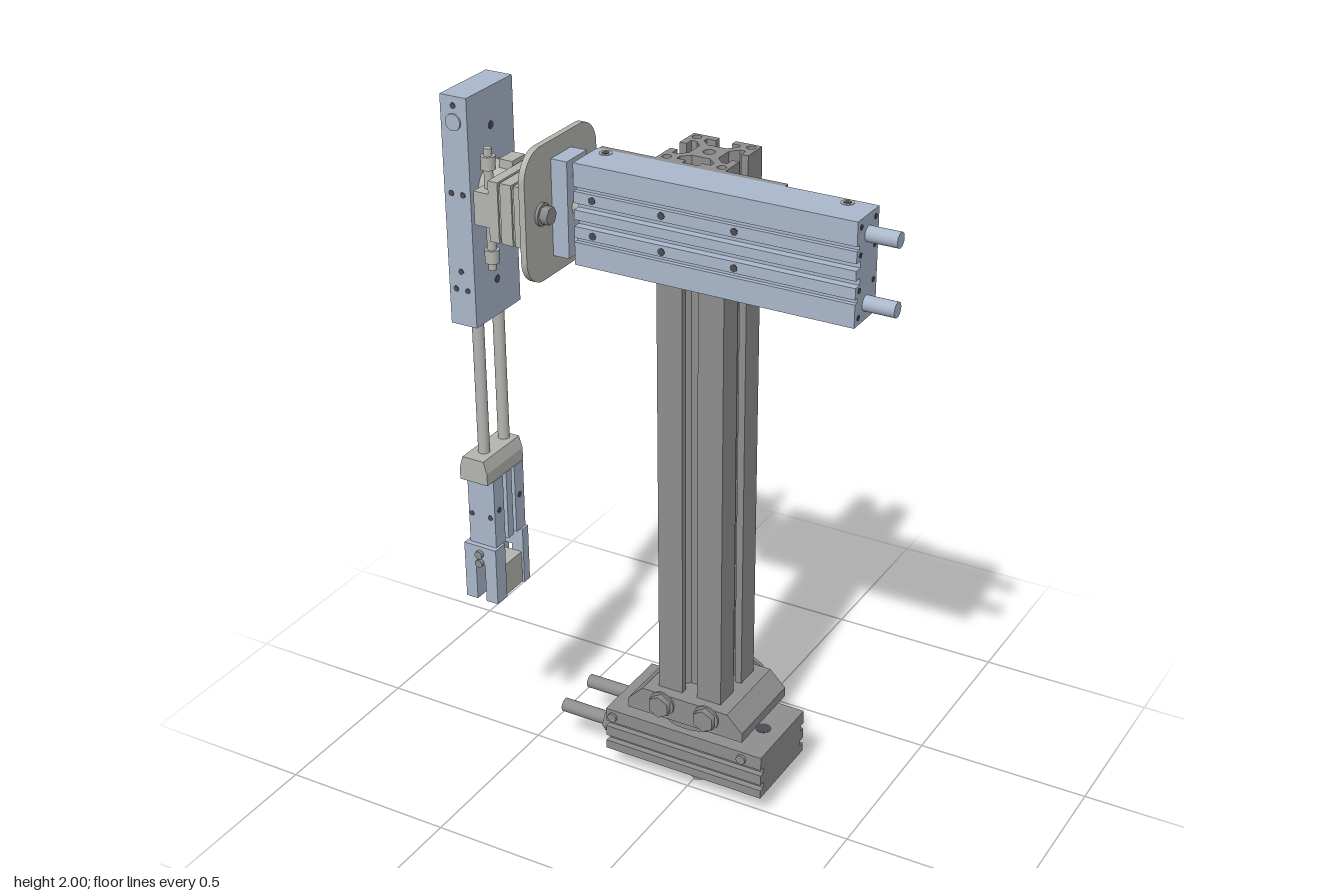
import * as THREE from 'three';

const mat = (color) => new THREE.MeshStandardMaterial({ color });

export function createModel() {
  const root = new THREE.Group();
  const DARK = mat(0x8e8e8e), GREY = mat(0xb4b4b0), BLUE = mat(0xaab7cb), HOLE = mat(0x4a4d52);

  const add = (name, geo, material, parent = root) => {
    const m = new THREE.Mesh(geo, material);
    m.name = name;
    parent.add(m);
    return m;
  };
  const group = (name) => {
    const g = new THREE.Group();
    g.name = name;
    root.add(g);
    return g;
  };
  // Box given by its limits on each axis
  const box = (name, [x0, x1], [y0, y1], [z0, z1], material, parent) => {
    const m = add(name, new THREE.BoxGeometry(x1 - x0, y1 - y0, z1 - z0), material, parent);
    m.position.set((x0 + x1) / 2, (y0 + y1) / 2, (z0 + z1) / 2);
    return m;
  };
  // Cylinder along an axis from a to b; p is the centre on the other two axes in x, y, z order
  const rod = (name, axis, a, b, p, r, material, parent, sides = 24) => {
    const geo = new THREE.CylinderGeometry(r, r, b - a, sides);
    if (axis === 'x') geo.rotateZ(Math.PI / 2);
    if (axis === 'z') geo.rotateX(Math.PI / 2);
    const m = add(name, geo, material, parent), c = (a + b) / 2;
    if (axis === 'x') m.position.set(c, p[0], p[1]);
    else if (axis === 'y') m.position.set(p[0], c, p[1]);
    else m.position.set(p[0], p[1], c);
    return m;
  };
  const shapeOf = (pts) => new THREE.Shape(pts.map(([x, y]) => new THREE.Vector2(x, y)));
  const extrude = (shape, depth) =>
    new THREE.ExtrudeGeometry(shape, { depth, bevelEnabled: false, curveSegments: 12 });
  const circle = (x, y, r) => new THREE.Path().absarc(x, y, r, 0, Math.PI * 2, true);
  // Profile drawn in (z, y), swept along x
  const sweepX = (name, pts, x0, x1, material, parent) => {
    const geo = extrude(shapeOf(pts.map(([z, y]) => [-z, y])), x1 - x0).rotateY(Math.PI / 2);
    geo.translate(x0, 0, 0);
    return add(name, geo, material, parent);
  };
  // Side edge running from y0 to y1 at z, with grooves cut by d at the given heights
  const grooved = (z, d, heights, half) =>
    heights.flatMap((y) => [[z, y - half], [z - d, y - half], [z - d, y + half], [z, y + half]]);

  // Base rotary unit: grooved body, ports and centre bolt
  const base = group('base');
  const cz = -0.093;
  const front = grooved(0.037, 0.018, [0.105, 0.155], 0.009);
  const back = front.map(([z, y]) => [2 * cz - z, y]).reverse();
  sweepX('baseBody', [[0.037, 0.07], ...front, [0.037, 0.205], [-0.223, 0.205], ...back, [-0.223, 0.07]],
    -0.243, 0.25, DARK, base);
  rod('baseBolt', 'y', 0, 0.045, [0.007, cz], 0.058, DARK, base, 6);
  rod('baseWasher', 'y', 0.045, 0.07, [0.007, cz], 0.067, DARK, base);
  rod('lowerFlange', 'y', 0.205, 0.22, [0.007, cz], 0.09, DARK, base, 32);
  rod('upperFlange', 'y', 0.218, 0.236, [0.007, cz], 0.125, DARK, base, 32);
  for (const z of [-0.167, -0.027]) {
    rod('fittingNut', 'x', -0.275, -0.243, [0.12, z], 0.034, DARK, base, 6);
    rod('hoseFitting', 'x', -0.42, -0.275, [0.12, z], 0.02, DARK, base);
  }
  for (const x of [-0.17, 0.19]) rod('baseHole', 'y', 0.2, 0.206, [x, cz], 0.022, HOLE, base);
  for (const x of [-0.22, 0.19]) for (const [a, b] of [[0.037, 0.045], [-0.232, -0.223]])
    rod('baseScrew', 'z', a, b, [x, 0.183], 0.014, DARK, base, 12);

  // Chamfered clamp holding the column, with hex bolts on both faces
  const clamp = group('columnClamp');
  const clampGeo = extrude(shapeOf([[-0.17, 0.236], [0.19, 0.236], [0.19, 0.265], [0.143, 0.312],
    [-0.123, 0.312], [-0.17, 0.265]]), 0.258);
  clampGeo.translate(0, 0, -0.222);
  add('clampBlock', clampGeo, DARK, clamp);
  for (const x of [-0.06, 0.08]) for (const [z, s] of [[0.036, 1], [-0.222, -1]]) {
    const span = (a, b) => [z + s * a, z + s * b].sort((p, q) => p - q);
    rod('clampWasher', 'z', ...span(0, 0.006), [x, 0.283], 0.038, DARK, clamp);
    rod('clampBolt', 'z', ...span(0.006, 0.025), [x, 0.283], 0.033, DARK, clamp, 6);
  }

  // Column: square extrusion with a T-slot in each side and holes through it
  const h = 0.097;
  const side = [[-h, -h], [-0.023, -h], [-0.023, -h + 0.02], [-0.048, -h + 0.02], [-0.048, -h + 0.036],
    [-0.026, -h + 0.056], [0.026, -h + 0.056], [0.048, -h + 0.036], [0.048, -h + 0.02],
    [0.023, -h + 0.02], [0.023, -h]];
  const outline = [];
  for (let i = 0, p = side; i < 4; i++, p = p.map(([x, y]) => [-y, x])) outline.push(...p);
  const columnShape = shapeOf(outline);
  columnShape.holes.push(circle(0, 0, 0.016));
  for (const x of [-1, 1]) for (const y of [-1, 1])
    columnShape.holes.push(circle(x * 0.077, y * 0.077, 0.012));
  const column = add('column', extrude(columnShape, 1.56).rotateX(-Math.PI / 2), DARK);
  column.position.set(0.008, 0.31, -0.095);

  // Horizontal slide: mounting plate, grooved body, guide rods and end plate
  const slide = group('horizontalSlide');
  box('mountingPlate', [-0.243, 0.275], [1.6, 1.87], [0, 0.016], DARK, slide);
  sweepX('slideBody', [[0.016, 1.6], [0.132, 1.6],
    ...grooved(0.132, 0.012, [1.667], 0.006), ...grooved(0.132, 0.022, [1.712, 1.756], 0.009),
    ...grooved(0.132, 0.012, [1.802], 0.006), [0.132, 1.87], [0.016, 1.87]], -0.247, 0.522, BLUE, slide);
  for (const y of [1.643, 1.82]) {
    rod('guideRod', 'x', 0.522, 0.605, [y, 0.072], 0.02, BLUE, slide);
    rod('rodEnd', 'x', -0.28, -0.247, [y, 0.072], 0.022, BLUE, slide);
  }
  box('slideEndPlate', [-0.318, -0.272], [1.605, 1.863], [0.025, 0.12], BLUE, slide);
  rod('pistonRod', 'x', -0.28, -0.247, [1.735, 0.072], 0.028, GREY, slide);
  for (const x of [-0.195, 0, 0.2]) for (const y of [1.686, 1.78])
    rod('slideHole', 'z', 0.125, 0.1335, [x, y], 0.01, HOLE, slide, 12);
  for (const x of [-0.21, 0.45]) {
    rod('portRing', 'y', 1.865, 1.8715, [x, 0.037], 0.017, GREY, slide);
    rod('portHole', 'y', 1.865, 1.8725, [x, 0.037], 0.01, HOLE, slide, 16);
  }
  for (const y of [1.62, 1.69, 1.78, 1.85]) for (const z of [0.035, 0.112])
    rod('endHole', 'x', 0.515, 0.5235, [y, z], 0.007, HOLE, slide, 12);
  for (const y of [1.66, 1.81]) for (const x of [-0.2, -0.13])
    rod('plateScrew', 'z', -0.0015, 0.005, [x, y], 0.011, HOLE, slide, 12);

  // Wrist: rounded adapter plate, rotary body, stops, fittings and turning flange
  const wrist = group('wrist');
  const [z0, z1, y0, y1, r] = [-0.095, 0.242, 1.555, 1.91, 0.075];
  const plate = new THREE.Shape();
  plate.absarc(-z0 - r, y1 - r, r, 0, Math.PI / 2);
  plate.absarc(-z1 + r, y1 - r, r, Math.PI / 2, Math.PI);
  plate.absarc(-z1 + r, y0 + r, r, Math.PI, Math.PI * 1.5);
  plate.absarc(-z0 - r, y0 + r, r, Math.PI * 1.5, Math.PI * 2);
  add('adapterPlate', extrude(plate, 0.017).rotateY(Math.PI / 2), GREY, wrist).position.x = -0.335;
  for (const z of [-0.03, 0.17]) {
    rod('adapterWasher', 'x', -0.318, -0.31, [1.735, z], 0.03, DARK, wrist);
    rod('adapterBolt', 'x', -0.31, -0.288, [1.735, z], 0.024, DARK, wrist, 6);
  }
  box('rotaryCore', [-0.44, -0.335], [1.665, 1.805], [-0.07, 0.215], GREY, wrist);
  for (const [a, b] of [[-0.44, -0.412], [-0.405, -0.372], [-0.365, -0.335]])
    box('rotaryLayer', [a, b], [1.655, 1.816], [-0.076, 0.22], GREY, wrist);
  for (const [a, b] of [[-0.072, -0.005], [0.15, 0.218]])
    box('stopBlock', [-0.485, -0.44], [1.69, 1.78], [a, b], GREY, wrist);
  rod('turningFlange', 'x', -0.522, -0.44, [1.735, 0.073], 0.072, GREY, wrist, 32);
  box('flangeStop', [-0.485, -0.445], [1.78, 1.825], [0.04, 0.1], GREY, wrist);
  const fitting = (z, y, s) => {
    const span = (a, b) => [y + s * a, y + s * b].sort((p, q) => p - q);
    rod('fittingNeck', 'y', ...span(0, 0.075), [-0.463, z], 0.012, GREY, wrist, 16);
    rod('fittingCollar', 'y', ...span(0.075, 0.11), [-0.463, z], 0.019, GREY, wrist, 16);
    rod('fittingTip', 'y', ...span(0.11, 0.13), [-0.463, z], 0.011, GREY, wrist, 16);
  };
  fitting(0.18, 1.755, 1);
  fitting(0.18, 1.69, -1);
  fitting(-0.035, 1.69, -1);

  // Vertical slide with guide rods
  const lift = group('verticalSlide');
  box('liftBody', [-0.6, -0.522], [1.38, 2], [-0.028, 0.178], BLUE, lift);
  box('liftCover', [-0.608, -0.6], [1.39, 1.99], [-0.015, 0.165], BLUE, lift);
  for (const z of [0.025, 0.121]) rod('liftRod', 'y', 0.98, 1.38, [-0.558, z], 0.016, GREY, lift);
  rod('liftStop', 'y', 1.345, 1.38, [-0.585, 0.075], 0.015, BLUE, lift, 12);
  rod('liftPort', 'z', 0.17, 0.183, [-0.562, 1.933], 0.022, BLUE, lift);
  for (const [x, y] of [[-0.562, 1.975], [-0.58, 1.742], [-0.545, 1.742], [-0.562, 1.53],
    [-0.58, 1.48], [-0.545, 1.48]]) {
    rod('liftHole', 'z', 0.17, 0.1795, [x, y], 0.008, HOLE, lift, 12);
    rod('liftHole', 'z', -0.0295, -0.02, [x, y], 0.008, HOLE, lift, 12);
  }
  for (const y of [1.48, 1.9]) rod('liftSideHole', 'x', -0.53, -0.5205, [y, 0.075], 0.011, HOLE, lift, 12);

  // Gripper: chamfered mounting block, slotted body and two jaws
  const gripper = group('gripper');
  const blockGeo = extrude(shapeOf([[-0.602, 0.915], [-0.515, 0.915], [-0.515, 0.95], [-0.525, 0.985],
    [-0.592, 0.985], [-0.602, 0.95]]), 0.175);
  add('gripperMount', blockGeo, GREY, gripper);
  box('gripperCore', [-0.585, -0.525], [0.71, 0.915], [0.004, 0.148], BLUE, gripper);
  for (const [a, b] of [[0.004, 0.048], [0.062, 0.088], [0.104, 0.15]])
    box('gripperRib', [-0.597, -0.513], [0.71, 0.915], [a, b], BLUE, gripper);
  for (const z of [0.026, 0.127]) {
    rod('gripperHole', 'x', -0.52, -0.512, [0.818, z], 0.009, HOLE, gripper, 12);
    rod('gripperHole', 'x', -0.598, -0.59, [0.818, z], 0.009, HOLE, gripper, 12);
  }
  for (const x of [-0.588, -0.528]) rod('gripperFrontHole', 'z', 0.145, 0.151, [x, 0.8], 0.008, HOLE, gripper, 12);
  // Each jaw is notched from below by a slot
  const jaw = shapeOf([[-0.608, 0.54], [-0.572, 0.54], [-0.572, 0.655], [-0.543, 0.655], [-0.543, 0.54],
    [-0.506, 0.54], [-0.506, 0.71], [-0.608, 0.71]]);
  for (const [a, b] of [[0.002, 0.03], [0.118, 0.165]])
    add('jaw', extrude(jaw, b - a), BLUE, gripper).position.z = a;
  box('jawPad', [-0.602, -0.512], [0.54, 0.637], [0.03, 0.118], GREY, gripper);
  for (const y of [0.66, 0.687]) rod('jawScrew', 'z', 0.16, 0.176, [-0.557, y], 0.012, DARK, gripper, 12);

  return root;
}
